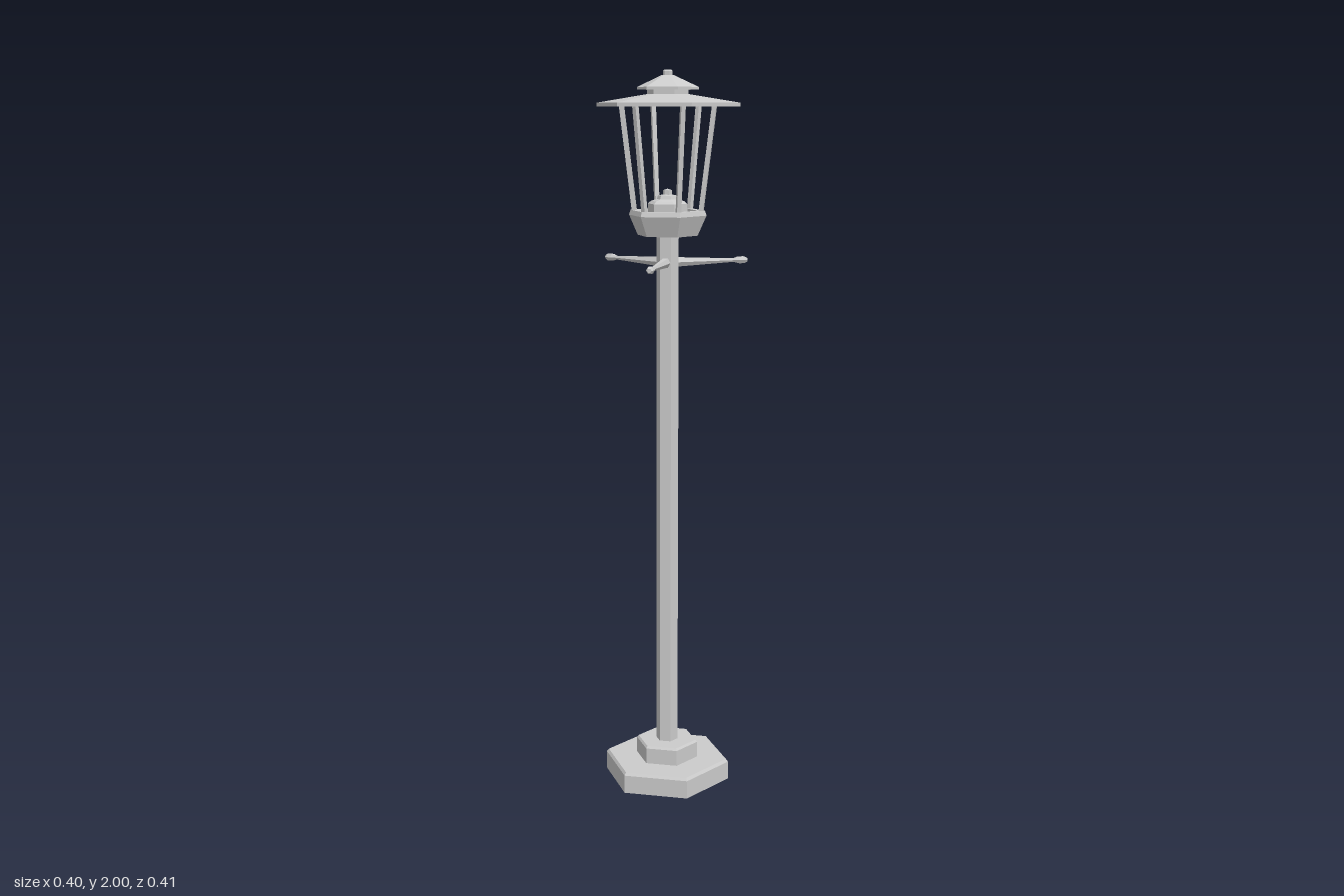
import * as THREE from 'three';

const AXIS_X = 0.03; // the post stands slightly off centre because of the arms

export function createModel() {
  const model = new THREE.Group();
  model.name = 'streetLamp';
  const lamp = new THREE.Group();
  lamp.name = 'lampPost';
  lamp.position.x = AXIS_X;
  model.add(lamp);

  const material = new THREE.MeshStandardMaterial({ color: 0xcccccc, flatShading: true });

  // Six-sided turned part; profile is [radius, height] from bottom to top
  const turned = (name, profile, parent = lamp) => {
    const points = profile.map(([r, y]) => new THREE.Vector2(r, y));
    const mesh = new THREE.Mesh(new THREE.LatheGeometry(points, 6), material);
    mesh.name = name;
    parent.add(mesh);
    return mesh;
  };

  // Stepped foot with small bevels
  turned('base', [[0, 0], [0.18, 0], [0.18, 0.052], [0.174, 0.06], [0, 0.06]]);
  turned('plinth', [[0, 0.06], [0.089, 0.06], [0.089, 0.105], [0.084, 0.111], [0, 0.111]]);
  turned('pole', [[0, 0.111], [0.031, 0.111], [0.031, 1.565], [0, 1.565]]);

  // Lantern cup with a shallow recess, and the burner inside it
  turned('lanternCup', [
    [0, 1.563], [0.083, 1.563], [0.107, 1.617], [0.103, 1.63],
    [0.083, 1.63], [0.08, 1.612], [0, 1.612],
  ]);
  turned('burner', [
    [0, 1.612], [0.054, 1.612], [0.054, 1.648], [0.046, 1.655], [0.03, 1.66],
    [0.026, 1.67], [0.012, 1.672], [0.012, 1.684], [0, 1.688],
  ]);

  // Leaning struts at the six corners
  const up = new THREE.Vector3(0, 1, 0);
  for (let i = 0; i < 6; i++) {
    const a = (i * Math.PI) / 3;
    const at = (r, y) => new THREE.Vector3(r * Math.sin(a), y, r * Math.cos(a));
    const low = at(0.091, 1.62);
    const high = at(0.127, 1.91);
    const direction = high.clone().sub(low);
    const strut = new THREE.Mesh(new THREE.BoxGeometry(0.012, direction.length(), 0.012), material);
    strut.name = 'strut';
    strut.position.copy(low).add(high).multiplyScalar(0.5);
    strut.quaternion
      .setFromUnitVectors(up, direction.normalize())
      .multiply(new THREE.Quaternion().setFromAxisAngle(up, a));
    lamp.add(strut);
  }

  // Wide roof, vent neck, small cap and finial
  turned('roof', [[0, 1.904], [0.196, 1.904], [0.196, 1.914], [0.06, 1.936], [0, 1.936]]);
  turned('ventNeck', [[0, 1.93], [0.056, 1.93], [0.056, 1.952], [0, 1.952]]);
  turned('cap', [[0, 1.948], [0.084, 1.948], [0.084, 1.955], [0.016, 1.986], [0, 1.986]]);
  turned('finial', [[0, 1.982], [0.013, 1.982], [0.013, 1.996], [0.009, 2], [0, 2]]);

  // Three tapering ladder arms with knobbed ends
  for (let i = 0; i < 3; i++) {
    const pivot = new THREE.Group();
    pivot.name = 'ladderArm';
    pivot.position.y = 1.49;
    pivot.rotation.y = Math.PI + (i * 2 * Math.PI) / 3;
    lamp.add(pivot);
    const arm = turned('arm', [
      [0, 0], [0.014, 0], [0.014, 0.03], [0.0055, 0.19], [0.0105, 0.206],
      [0.0105, 0.222], [0.006, 0.231], [0, 0.231],
    ], pivot);
    arm.rotation.z = -Math.PI / 2;
  }

  return model;
}
